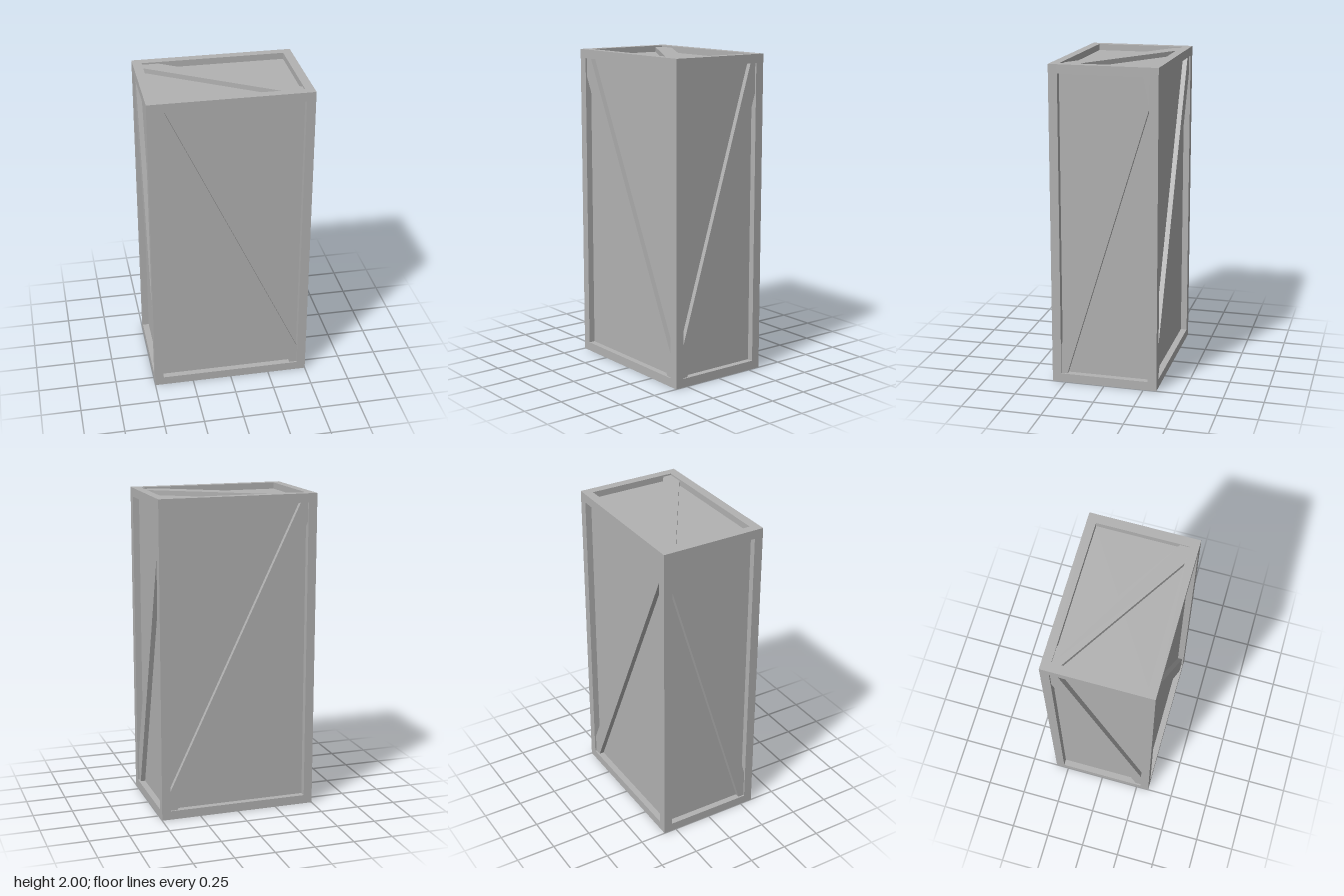
import * as THREE from 'three';

const W = 1, H = 2, D = 2 / 3;   // outer size
const BEAM = 0.0555;             // frame beam width
const RECESS = 0.04;             // depth of the panels below the frame
const BRACE = 0.03;              // thickness of the diagonal braces

export function createModel() {
  const grey = new THREE.MeshStandardMaterial({ color: 0xb2b2b2 });
  grey.name = 'plain grey';
  const group = new THREE.Group();
  group.name = 'crate';

  const add = (name, geometry, x, y, z) => {
    const mesh = new THREE.Mesh(geometry, grey);
    mesh.name = name;
    mesh.position.set(x, y + H / 2, z);
    group.add(mesh);
  };

  // Recessed panels, as one inner body
  add('panels', new THREE.BoxGeometry(W - 2 * RECESS, H - 2 * RECESS, D - 2 * RECESS), 0, 0, 0);

  // Twelve frame beams, four along each axis
  const ex = (W - BEAM) / 2, ey = (H - BEAM) / 2, ez = (D - BEAM) / 2;
  for (const a of [-1, 1]) {
    for (const b of [-1, 1]) {
      add('cornerPost', new THREE.BoxGeometry(BEAM, H, BEAM), a * ex, 0, b * ez);
      add('wideRail', new THREE.BoxGeometry(W - 2 * BEAM, BEAM, BEAM), 0, a * ey, b * ez);
      add('sideRail', new THREE.BoxGeometry(BEAM, BEAM, D - 2 * BEAM), a * ex, b * ey, 0);
    }
  }

  // Diagonal brace filling two opposite corners of a w by h opening;
  // cutU and cutV are how far it reaches along each edge, dir 1 falls to the right
  const braceGeometry = (w, h, cutU, cutV, dir) => {
    const u = w / 2 - BEAM, v = h / 2 - BEAM;
    const points = [
      [-u, v], [-u, v - cutV], [u - cutU, -v],
      [u, -v], [u, -v + cutV], [-u + cutU, v],
    ].map(([x, y]) => new THREE.Vector2(x * dir, y));
    const geometry = new THREE.ExtrudeGeometry(new THREE.Shape(points), { depth: BRACE, bevelEnabled: false });
    return geometry.translate(0, 0, -BRACE / 2);
  };

  const front = braceGeometry(W, H, 0.047, 0.12, 1);
  const side = braceGeometry(D, H, 0.038, 0.184, -1).rotateY(Math.PI / 2);
  const top = braceGeometry(W, D, 0.104, 0.055, 1).rotateX(-Math.PI / 2);
  const inset = RECESS - BRACE / 2;
  for (const s of [-1, 1]) {
    add(s > 0 ? 'frontBrace' : 'backBrace', front, 0, 0, s * (D / 2 - inset));
    add(s > 0 ? 'leftBrace' : 'rightBrace', side, s * (W / 2 - inset), 0, 0);
    add(s > 0 ? 'topBrace' : 'bottomBrace', top, 0, s * (H / 2 - inset), 0);
  }
  return group;
}
